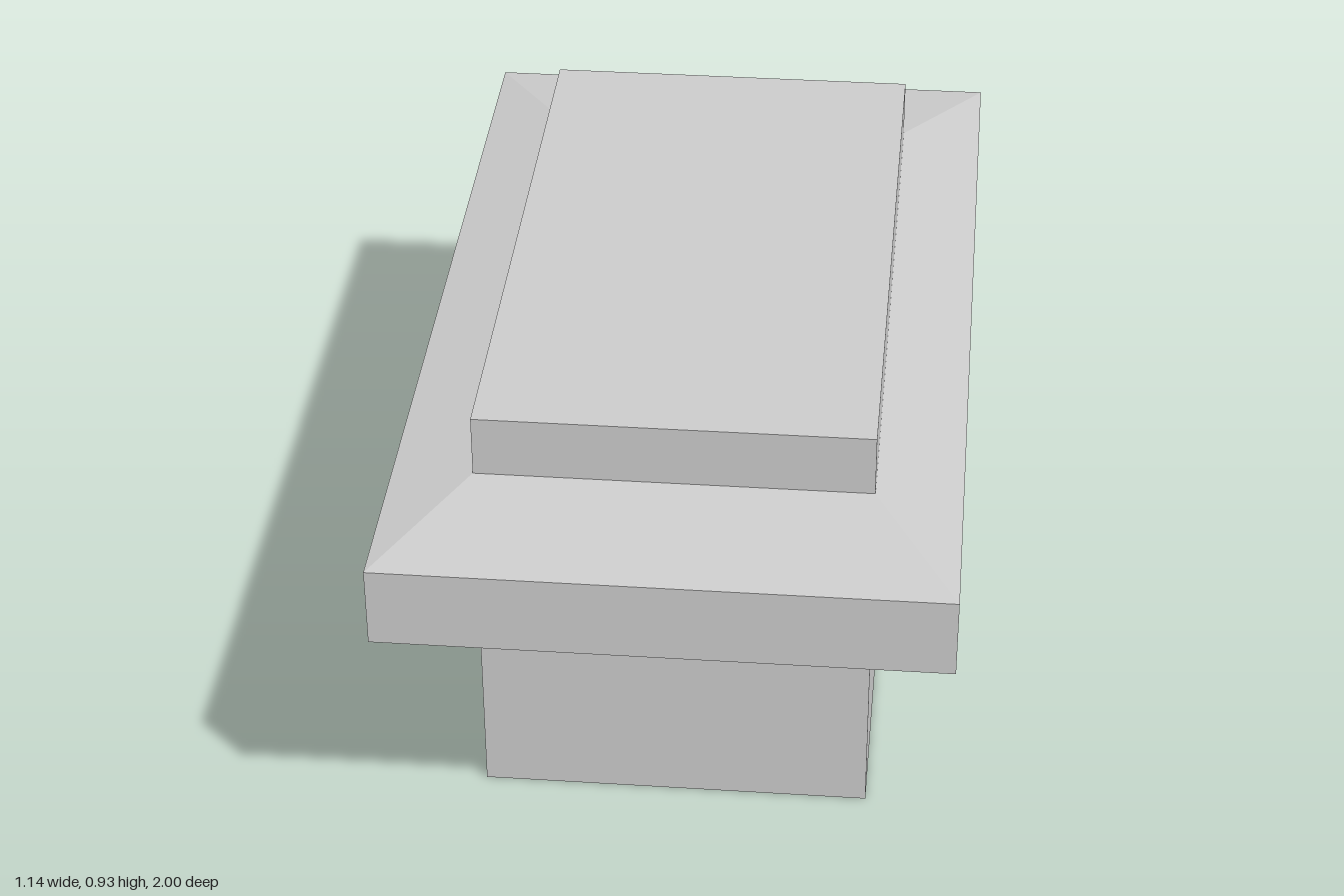
import * as THREE from 'three';

const material = new THREE.MeshStandardMaterial({ color: 0xcccccc, flatShading: true, side: THREE.DoubleSide });

function mesh(geometry, name) {
  const m = new THREE.Mesh(geometry, material);
  m.name = name;
  return m;
}

// Upright wall, centred on u = 0, facing local +z, with an optional floor-level
// opening and recessed rectangles [u0, u1, v0, v1].
function wall(name, width, leftTop, rightTop, { opening, recesses = [], depth = 0.04 } = {}) {
  const group = new THREE.Group();
  group.name = name;
  const w = width / 2;
  const outline = [[-w, 0]];
  if (opening) {
    const [u0, u1, , v1] = opening;
    outline.push([u0, 0], [u0, v1], [u1, v1], [u1, 0]);
  }
  outline.push([w, 0], [w, rightTop], [-w, leftTop]);
  const shape = new THREE.Shape(outline.map(([u, v]) => new THREE.Vector2(u, v)));
  for (const [u0, u1, v0, v1] of recesses) {
    if (!(opening && opening[0] === u0 && v0 === 0)) {
      shape.holes.push(new THREE.Path([[u0, v0], [u0, v1], [u1, v1], [u1, v0]].map(([u, v]) => new THREE.Vector2(u, v))));
    }
    group.add(recess(u0, u1, v0, v1, depth));
  }
  group.add(mesh(new THREE.ShapeGeometry(shape), name + 'Face'));
  return group;
}

// Shallow open-fronted niche: back panel, two jambs, head and sill.
function recess(u0, u1, v0, v1, depth) {
  const group = new THREE.Group();
  group.name = 'recess';
  const w = u1 - u0, h = v1 - v0, u = (u0 + u1) / 2, v = (v0 + v1) / 2;
  const back = mesh(new THREE.PlaneGeometry(w, h), 'recessBack');
  back.position.set(u, v, -depth);
  group.add(back);
  for (const s of [-1, 1]) {
    const jamb = mesh(new THREE.PlaneGeometry(depth, h), 'recessJamb');
    jamb.rotation.y = -s * Math.PI / 2;
    jamb.position.set(u + s * w / 2, v, -depth / 2);
    const ledge = mesh(new THREE.PlaneGeometry(w, depth), 'recessLedge');
    ledge.rotation.x = s * Math.PI / 2;
    ledge.position.set(u, v + s * h / 2, -depth / 2);
    group.add(jamb, ledge);
  }
  return group;
}

// Stack of rectangular rings [x0, x1, halfZ, y], closed at both ends.
function ringStack(rings) {
  const pos = [], index = [];
  for (const [x0, x1, z, y] of rings) pos.push(x0, y, z, x1, y, z, x1, y, -z, x0, y, -z);
  for (let r = 0; r < rings.length - 1; r++) {
    for (let i = 0; i < 4; i++) {
      const a = r * 4 + i, b = r * 4 + (i + 1) % 4;
      index.push(a, b, b + 4, a, b + 4, a + 4);
    }
  }
  const t = (rings.length - 1) * 4;
  index.push(0, 2, 1, 0, 3, 2, t, t + 1, t + 2, t, t + 2, t + 3);
  const g = new THREE.BufferGeometry();
  g.setAttribute('position', new THREE.Float32BufferAttribute(pos, 3));
  g.setIndex(index);
  const flat = g.toNonIndexed();
  flat.computeVertexNormals();
  return flat;
}

export function createModel() {
  const model = new THREE.Group();
  model.name = 'building';
  const X0 = -0.453, X1 = 0.347, Z = 0.7, H = 0.587;
  const place = (part, x, z, turn) => {
    part.position.set(x, 0, z);
    part.rotation.y = turn;
    model.add(part);
  };

  // Outer walls, open underneath
  const midX = (X0 + X1) / 2;
  place(wall('frontWall', X1 - X0, H, H), midX, Z, 0);
  place(wall('backWall', X1 - X0, H, H), midX, -Z, Math.PI);
  place(wall('rearSideWall', 2 * Z, H, H), X0, 0, -Math.PI / 2);
  place(wall('entranceWall', 2 * Z, H, H, {
    opening: [-0.16, 0.16, 0, 0.518],
    recesses: [[-0.625, -0.24, 0.325, 0.404], [0.24, 0.625, 0.325, 0.404]],
    depth: 0.02,
  }), X1, 0, Math.PI / 2);

  // Entrance porch with a recessed door in each of its three walls
  const depth = 0.5, backX = X1 - depth, porchX = X1 - depth / 2;
  const high = 0.518, low = 0.505;
  const door = [-0.085, 0.085, 0, 0.404];
  const doorWall = { opening: door, recesses: [door] };
  place(wall('porchBackWall', 0.32, low, low, doorWall), backX, 0, Math.PI / 2);
  place(wall('porchLeftWall', depth, high, low, doorWall), porchX, 0.16, Math.PI);
  place(wall('porchRightWall', depth, low, high, doorWall), porchX, -0.16, 0);

  const floor = mesh(new THREE.PlaneGeometry(depth, 0.32), 'porchFloor');
  floor.rotation.x = -Math.PI / 2;
  floor.position.set(porchX, 0, 0);
  model.add(floor);

  // Ceiling falls slightly towards the back
  const ceiling = mesh(new THREE.PlaneGeometry(Math.hypot(depth, high - low), 0.32).rotateX(Math.PI / 2), 'porchCeiling');
  ceiling.rotation.z = Math.atan2(high - low, depth);
  ceiling.position.set(porchX, (high + low) / 2, 0);
  model.add(ceiling);

  // Overhanging roof: eaves band, shallow slope and raised flat top
  model.add(mesh(ringStack([
    [-0.622, 0.52, 1, H],
    [-0.622, 0.52, 1, 0.756],
    [-0.45, 0.346, 0.714, 0.798],
    [-0.45, 0.346, 0.714, 0.927],
  ]), 'roof'));

  return model;
}
